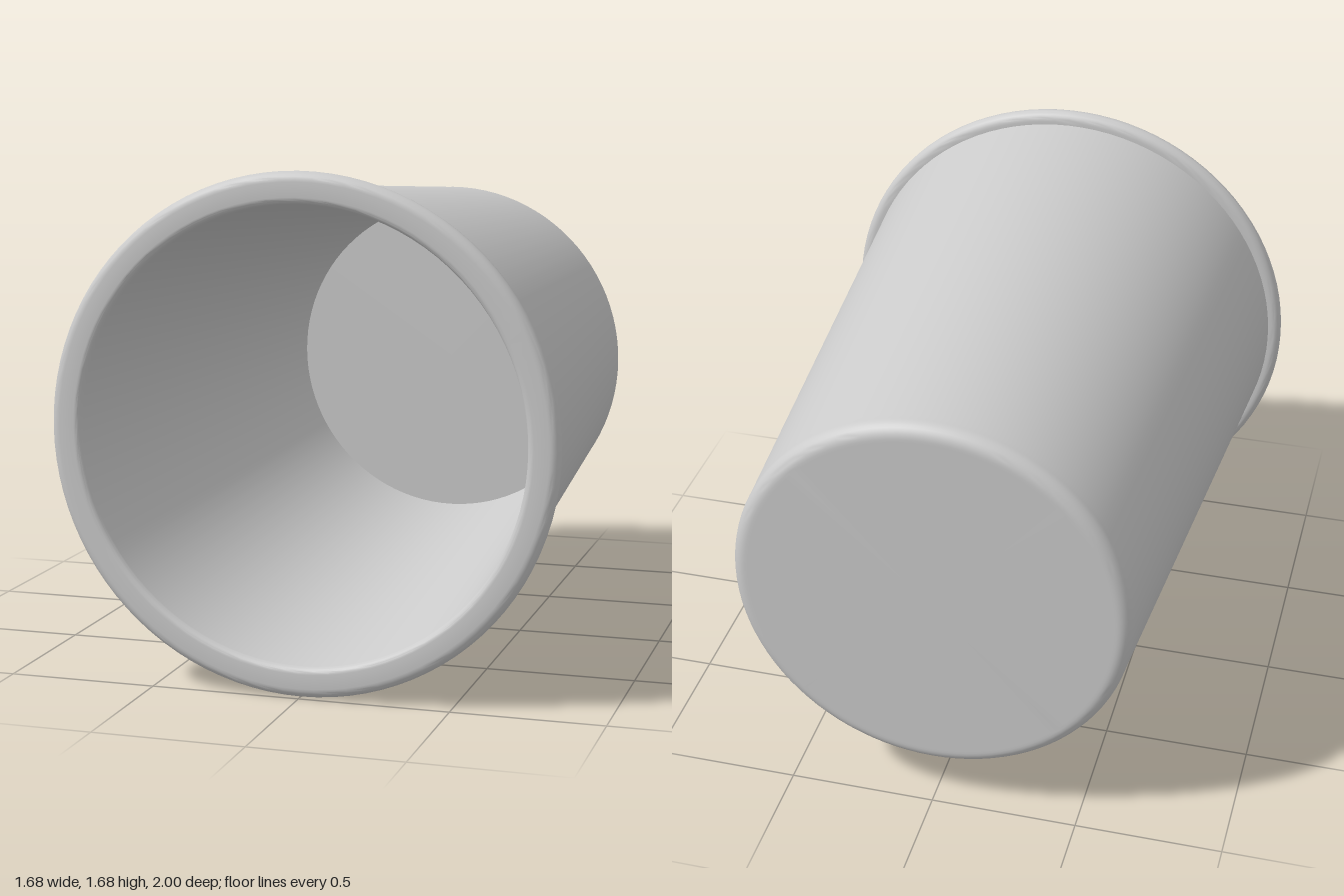
import * as THREE from 'three';
import { toCreasedNormals } from 'three/addons/utils/BufferGeometryUtils.js';

const AXIS_HEIGHT = 0.843;

// Points along an arc in the (radius, depth) profile plane
function arc(cx, cy, r, from, to, steps) {
  return Array.from({ length: steps + 1 }, (_, i) => {
    const a = from + (to - from) * i / steps;
    return [cx + r * Math.cos(a), cy + r * Math.sin(a)];
  });
}

// Revolve a profile about the z axis, keeping hard edges sharp
function turned(name, profile, material) {
  const points = profile.map(([r, z]) => new THREE.Vector2(r, z));
  const geometry = toCreasedNormals(new THREE.LatheGeometry(points, 96), 0.5);
  geometry.rotateX(Math.PI / 2);
  const mesh = new THREE.Mesh(geometry, material);
  mesh.name = name;
  mesh.position.y = AXIS_HEIGHT;
  return mesh;
}

export function createModel() {
  const group = new THREE.Group();
  group.name = 'cup';
  const material = new THREE.MeshStandardMaterial({ color: 0xcccccc, side: THREE.DoubleSide });

  // Closed base with a rounded edge, and the tapered outer wall
  group.add(turned('outerWall', [
    [0, -1], [0.61, -1],
    ...arc(0.62, -0.953, 0.047, -Math.PI / 2, 0.07, 8),
    [0.668, -0.93], [0.798, 0.935],
  ], material));

  // Rolled lip around the mouth
  group.add(turned('rim', [
    [0.798, 0.935],
    ...arc(0.81, 0.9675, 0.0325, -Math.PI / 2, Math.PI / 2, 12),
    ...arc(0.762, 0.978, 0.022, Math.PI / 2, Math.PI, 6),
  ], material));

  // Tapered inner wall down to the flat floor
  group.add(turned('innerWall', [
    [0.74, 0.978], [0.605, -0.94], [0, -0.94],
  ], material));

  return group;
}
